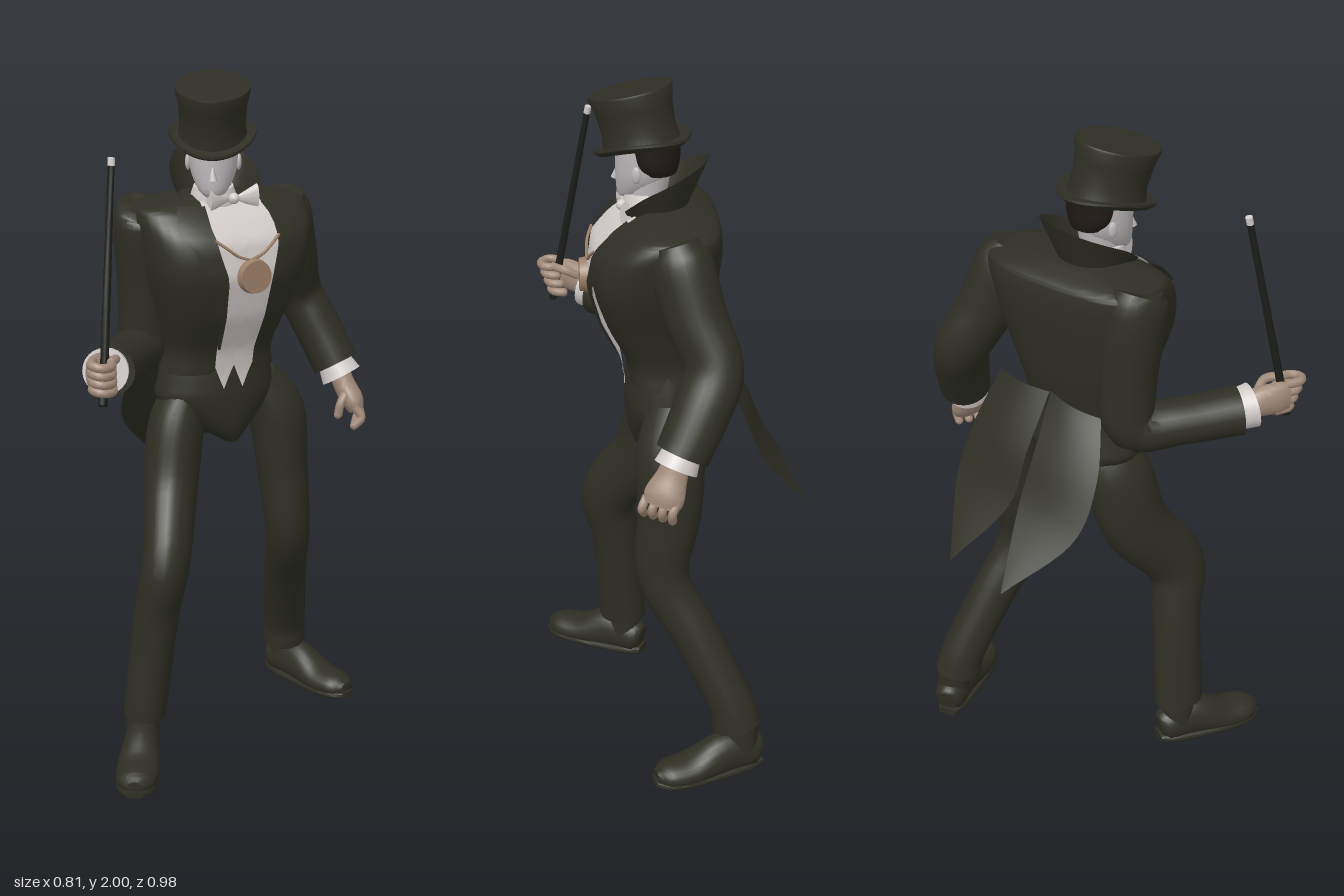
import * as THREE from 'three';
import { toCreasedNormals } from 'three/addons/utils/BufferGeometryUtils.js';

const V = (x, y, z) => new THREE.Vector3(x, y, z);
const paint = (name, color, side = THREE.FrontSide) => {
  const m = new THREE.MeshStandardMaterial({ color, side });
  m.name = name;
  return m;
};

// Smooth body part through rows of [x, y, z, radiusU, radiusV]; flat keeps every ring level
function limb(rows, { flat = false, sq = 1, sides = 24, steps = 5 } = {}) {
  const path = new THREE.CatmullRomCurve3(rows.map(r => V(r[0], r[1], r[2])), false, 'catmullrom', 0.5);
  const size = new THREE.CatmullRomCurve3(rows.map(r => V(r[3], r[4], 0)), false, 'catmullrom', 0.5);
  const n = (rows.length - 1) * steps, pos = [], idx = [];
  const pw = c => Math.sign(c) * Math.abs(c) ** sq;
  for (let i = 0; i <= n; i++) {
    const t = i / n, p = path.getPoint(t), s = size.getPoint(t);
    const T = flat ? V(0, 1, 0) : path.getTangent(t);
    const U = V(1, 0, 0).addScaledVector(T, -T.x).normalize();
    const W = T.clone().cross(U);
    for (let j = 0; j < sides; j++) {
      const a = (j / sides) * Math.PI * 2;
      const q = p.clone().addScaledVector(U, pw(Math.cos(a)) * s.x).addScaledVector(W, pw(Math.sin(a)) * s.y);
      pos.push(q.x, q.y, q.z);
    }
  }
  for (let i = 0; i < n; i++) for (let j = 0; j < sides; j++) {
    const k = (j + 1) % sides, a = i * sides + j, b = i * sides + k;
    idx.push(a, b, b + sides, a, b + sides, a + sides);
  }
  const c = pos.length / 3, e = n * sides;
  pos.push(...rows[0].slice(0, 3), ...rows.at(-1).slice(0, 3));
  for (let j = 0; j < sides; j++) {
    const k = (j + 1) % sides;
    idx.push(c, k, j, c + 1, e + j, e + k);
  }
  const g = new THREE.BufferGeometry();
  g.setAttribute('position', new THREE.Float32BufferAttribute(pos, 3));
  g.setIndex(idx);
  return toCreasedNormals(g, 0.9);
}

// Open sheet from a rule (u, v) => [x, y, z]
function patch(nu, nv, fn) {
  const g = new THREE.PlaneGeometry(1, 1, nu, nv), p = g.attributes.position, uv = g.attributes.uv;
  for (let i = 0; i < p.count; i++) p.setXYZ(i, ...fn(uv.getX(i), 1 - uv.getY(i)));
  g.computeVertexNormals();
  return g;
}

// Linear lookup in a table of [key, value], keys descending
function look(table, k) {
  if (k >= table[0][0]) return table[0][1];
  for (let i = 1; i < table.length; i++) {
    const [a, va] = table[i - 1], [b, vb] = table[i];
    if (k >= b) return va + (vb - va) * (a - k) / (a - b);
  }
  return table.at(-1)[1];
}

export function createModel() {
  const coat = paint('coat cloth', 0x2e2e24, THREE.DoubleSide);
  const white = paint('white linen', 0xd2cbc9, THREE.DoubleSide);
  const pale = paint('pale face', 0xbdb8ba);
  const skin = paint('skin', 0xa18a79);
  const bronze = paint('bronze', 0x9c8068);
  const hair = paint('dark hair', 0x201a16);
  const black = paint('black lacquer', 0x1d1d19);

  const model = new THREE.Group();
  const add = (name, geo, mat, parent = model) => {
    const m = new THREE.Mesh(geo, mat);
    m.name = name;
    parent.add(m);
    return m;
  };
  const body = new THREE.Group();
  body.name = 'body';
  body.position.set(-0.04, 0, -0.03);
  body.rotation.y = 0.49;
  model.add(body);

  // Jacket and hips
  const chest = [
    [0, 1.15, -0.02, 0.168, 0.1], [0, 1.22, -0.015, 0.162, 0.108], [0, 1.33, 0, 0.195, 0.148], [0.005, 1.45, 0.008, 0.235, 0.174],
    [0.01, 1.55, -0.005, 0.255, 0.172], [0.01, 1.61, -0.03, 0.262, 0.143], [0.005, 1.635, -0.04, 0.24, 0.118], [0, 1.66, -0.03, 0.12, 0.07]];
  const SQ = 0.67;
  add('jacket', limb(chest, { flat: true, sq: SQ, sides: 40 }), coat, body);
  add('hips', limb([[0.02, 0.93, 0.04, 0.02, 0.02], [0.01, 0.98, 0, 0.09, 0.08], [0, 1.06, -0.025, 0.178, 0.115],
    [0, 1.12, -0.025, 0.178, 0.115], [0, 1.22, -0.02, 0.155, 0.1]], { flat: true }), coat, body);

  // Front surface of the jacket at side offset l
  const down = [...chest].reverse();
  const front = (l, y) => {
    const c = look(down.map(r => [r[1], r[2]]), y), ru = look(down.map(r => [r[1], r[3]]), y);
    const rv = look(down.map(r => [r[1], r[4]]), y);
    return c + rv * Math.max(0, 1 - Math.min(1, Math.abs(l) / ru) ** (2 / SQ)) ** (SQ / 2);
  };
  const opening = y => look([[1.65, 0.09], [1.6, 0.105], [1.53, 0.098], [1.45, 0.074], [1.22, 0.06], [1.1, 0.06]], y);

  // Shirt front with a two-pointed hem
  add('shirtFront', patch(16, 28, (u, v) => {
    const hem = 1.105 + 0.07 * Math.abs(((u * 2) % 1) - 0.5) * 2;
    const y = 1.65 + (hem - 1.65) * v, l = (u - 0.5) * 2 * opening(y);
    return [l, y, front(l, y) + 0.012];
  }), white, body);
  for (const s of [-1, 1]) {
    // Pointed lapels
    add('lapel', patch(4, 16, (u, v) => {
      const y = 1.64 - 0.41 * v;
      const wide = look([[1.65, 0.07], [1.57, 0.1], [1.55, 0.07], [1.23, 0.004]], y);
      const l = s * (opening(y) - 0.006 + u * wide);
      return [l, y, front(l, y) + 0.02 - 0.006 * u];
    }), coat, body);
    // Bow tie wings
    const wing = add('bowTie', new THREE.ConeGeometry(0.036, 0.075, 12), white, body);
    wing.scale.z = 0.45;
    wing.rotation.z = s * Math.PI / 2;
    wing.position.set(s * 0.037, 1.655, 0.09);
    // Medallion chain
    add('chain', new THREE.TubeGeometry(new THREE.CatmullRomCurve3([[0.1, 1.56], [0.067, 1.535], [0.035, 1.512], [0, 1.5]]
      .map(([l, y]) => V(s * l, y, front(l, y) + 0.02))), 14, 0.0045, 6), bronze, body);
  }
  add('bowKnot', new THREE.SphereGeometry(0.016, 12, 8), white, body).position.set(0, 1.655, 0.095);
  const medal = add('medallion', new THREE.CylinderGeometry(0.046, 0.05, 0.022, 28), bronze, body);
  medal.rotation.x = Math.PI / 2;
  medal.position.set(0.008, 1.455, 0.205);

  // Close upright collar, peaked at the back and falling to the front
  const collar = add('collar', patch(32, 5, (u, v) => {
    const a = (u - 0.5) * 4, k = Math.abs(u - 0.5) * 2, r = 0.085 + 0.042 * v;
    const back = Math.max(0, Math.cos(a));
    return [Math.sin(a) * r, 1.61 + v * (0.185 - 0.13 * k ** 1.6), -Math.cos(a) * r - 0.035 * v * back];
  }), coat);
  collar.position.set(-0.048, 0, -0.01);
  collar.rotation.y = 0.25;

  // Coat tails, each from paired inner and outer edge points
  const tails = [
    [[-0.1, 1.28, -0.175], [0.07, 1.28, -0.245], [-0.135, 1.12, -0.265], [0.065, 1.13, -0.335],
      [-0.152, 0.98, -0.325], [0.052, 0.99, -0.395], [-0.09, 0.79, -0.49], [-0.085, 0.79, -0.488]],
    [[-0.1, 1.28, -0.17], [-0.23, 1.24, -0.08], [-0.135, 1.12, -0.24], [-0.305, 1.09, -0.13],
      [-0.16, 0.98, -0.3], [-0.335, 0.94, -0.21], [-0.265, 0.77, -0.41], [-0.268, 0.77, -0.408]]];
  for (const t of tails) {
    const edge = o => new THREE.CatmullRomCurve3([0, 2, 4, 6].map(i => V(...t[i + o])));
    const a = edge(0), b = edge(1);
    add('coatTail', patch(8, 20, (u, v) => {
      const p = a.getPoint(v).lerp(b.getPoint(v), u), bow = 0.015 * Math.sin(Math.PI * u) * (1 - v);
      return [p.x - 0.47 * bow, p.y, p.z - 0.88 * bow];
    }), coat);
  }

  // Head and neck with a white standing collar
  const hx = -0.053;
  add('neck', limb([[hx, 1.6, 0, 0.07, 0.07], [hx, 1.65, 0.008, 0.066, 0.066], [hx, 1.685, 0.012, 0.056, 0.058]]), white);
  add('nape', limb([[hx, 1.66, 0.005, 0.05, 0.052], [hx, 1.76, -0.008, 0.054, 0.058]]), pale);
  add('head', limb([[hx, 1.66, 0.066, 0.018, 0.014], [hx, 1.68, 0.045, 0.042, 0.046], [hx, 1.73, 0.018, 0.064, 0.076],
    [hx, 1.79, 0.01, 0.07, 0.084], [hx, 1.84, 0.01, 0.068, 0.082]], { flat: true }), pale);
  add('hair', limb([[hx, 1.745, -0.035, 0.055, 0.045], [hx, 1.775, -0.024, 0.073, 0.064], [hx, 1.84, -0.014, 0.076, 0.078]], { flat: true }), hair);
  const nose = add('nose', new THREE.ConeGeometry(0.013, 0.05, 8), pale);
  nose.position.set(hx, 1.735, 0.094);
  nose.rotation.x = -0.2;
  for (const s of [-1, 1]) {
    const ear = add('ear', new THREE.SphereGeometry(0.02, 12, 8), pale);
    ear.scale.set(0.4, 1.2, 0.7);
    ear.position.set(hx + s * 0.071, 1.75, 0.005);
  }

  // Top hat with the brim curled up at the sides
  const hatGeo = new THREE.LatheGeometry([[0, -0.006], [0.125, -0.008], [0.14, 0.002], [0.139, 0.009], [0.125, 0.008], [0.11, 0.012],
    [0.105, 0.05], [0.11, 0.11], [0.121, 0.155], [0.119, 0.161], [0, 0.161]].map(p => new THREE.Vector2(...p)), 40);
  const hp = hatGeo.attributes.position;
  for (let i = 0; i < hp.count; i++) if (hp.getY(i) < 0.02) hp.setY(i, hp.getY(i) + 1.2 * hp.getX(i) ** 2);
  const hat = add('topHat', toCreasedNormals(hatGeo, 0.7), coat);
  hat.position.set(-0.055, 1.811, 0.017);
  hat.rotation.set(0.24, 0, -0.01);
  hat.scale.x = 0.87;

  // Trouser legs
  add('rightLeg', limb([[-0.13, 1.09, -0.01, 0.06, 0.08], [-0.163, 0.98, 0.01, 0.082, 0.1], [-0.18, 0.8, 0.06, 0.08, 0.1],
    [-0.19, 0.62, 0.188, 0.07, 0.09], [-0.22, 0.45, 0.18, 0.066, 0.075], [-0.258, 0.14, 0.175, 0.063, 0.076]]), coat);
  add('leftLeg', limb([[0.07, 1.09, -0.13, 0.06, 0.08], [0.13, 0.98, -0.15, 0.084, 0.1], [0.15, 0.8, -0.155, 0.077, 0.094],
    [0.168, 0.6, -0.145, 0.067, 0.078], [0.165, 0.42, -0.25, 0.065, 0.07], [0.166, 0.22, -0.36, 0.066, 0.068],
    [0.166, 0.14, -0.384, 0.068, 0.074]]), coat);

  // Shoes with flat soles
  for (const [name, x, z, yaw] of [['rightShoe', -0.265, 0.165, -0.04], ['leftShoe', 0.168, -0.405, 0.78]]) {
    const shoe = new THREE.Group();
    shoe.name = name;
    shoe.position.set(x, 0, z);
    shoe.rotation.y = yaw;
    model.add(shoe);
    const upper = limb([[0, 0.05, -0.055, 0.03, 0.035], [0, 0.055, -0.03, 0.048, 0.055], [0, 0.06, 0.06, 0.052, 0.068],
      [0, 0.035, 0.16, 0.063, 0.045], [0, 0.03, 0.24, 0.055, 0.038], [0, 0.03, 0.275, 0.025, 0.02]]);
    const p = upper.attributes.position;
    for (let i = 0; i < p.count; i++) p.setY(i, Math.max(0.005, p.getY(i)));
    add('upper', toCreasedNormals(upper, 0.9), coat, shoe);
    add('sole', limb([[0, 0.012, -0.058, 0.028, 0.012], [0, 0.012, 0, 0.048, 0.012], [0, 0.012, 0.15, 0.062, 0.012],
      [0, 0.012, 0.24, 0.055, 0.012], [0, 0.012, 0.28, 0.025, 0.01]], { sq: 0.5 }), coat, shoe);
    add('ankle', new THREE.CylinderGeometry(0.048, 0.05, 0.12, 20), coat, shoe).position.set(0, 0.11, 0.005);
  }

  // Sleeves and cuffs
  add('rightSleeve', limb([[-0.25, 1.63, 0.022, 0.06, 0.062], [-0.255, 1.58, 0.01, 0.08, 0.088], [-0.252, 1.36, -0.01, 0.075, 0.08],
    [-0.262, 1.22, 0.0, 0.072, 0.075], [-0.3, 1.215, 0.13, 0.07, 0.066], [-0.335, 1.225, 0.29, 0.074, 0.07]]), coat);
  add('rightCuff', limb([[-0.335, 1.227, 0.275, 0.056, 0.058], [-0.342, 1.235, 0.33, 0.064, 0.064]]), white);
  add('leftSleeve', limb([[0.145, 1.626, -0.165, 0.06, 0.06], [0.15, 1.57, -0.185, 0.08, 0.088], [0.172, 1.43, -0.24, 0.079, 0.086],
    [0.198, 1.31, -0.302, 0.07, 0.084], [0.25, 1.21, -0.292, 0.07, 0.082], [0.312, 1.09, -0.26, 0.07, 0.076]]), coat);
  add('leftCuff', limb([[0.305, 1.1, -0.259, 0.05, 0.052], [0.329, 1.055, -0.248, 0.062, 0.062]]), white);

  // Hands
  const finger = (pts, r = 0.013) => {
    add('finger', new THREE.TubeGeometry(new THREE.CatmullRomCurve3(pts.map(p => V(...p))), 10, r, 8), skin);
    add('fingerTip', new THREE.SphereGeometry(r, 8, 6), skin).position.set(...pts.at(-1));
  };
  add('leftHand', limb([[0.322, 1.07, -0.248, 0.032, 0.038], [0.338, 1.03, -0.24, 0.033, 0.045], [0.362, 0.985, -0.23, 0.034, 0.058],
    [0.375, 0.955, -0.224, 0.024, 0.052]]), skin);
  for (let i = 0; i < 4; i++) {
    const z = -0.27 + i * 0.03;
    finger([[0.368, 0.975, z], [0.388, 0.945, z + 0.006], [0.378 - i * 0.004, 0.92, z + 0.01]]);
  }
  finger([[0.345, 1.02, -0.205], [0.325, 0.985, -0.185], [0.318, 0.95, -0.185]]);
  add('rightHand', limb([[-0.342, 1.236, 0.31, 0.036, 0.038], [-0.352, 1.246, 0.35, 0.034, 0.046],
    [-0.364, 1.25, 0.4, 0.026, 0.05], [-0.366, 1.25, 0.43, 0.02, 0.045]]), skin);
  for (let i = 0; i < 4; i++) {
    const y = 1.212 + i * 0.026, z = 0.385 + i * 0.011;
    finger([[-0.368, y, z], [-0.368, y, z + 0.05], [-0.342, y - 0.004, z + 0.064], [-0.318, y - 0.006, z + 0.045], [-0.318, y - 0.004, z + 0.01]]);
  }
  finger([[-0.33, 1.265, 0.35], [-0.31, 1.285, 0.385], [-0.318, 1.288, 0.43]]);

  // Cane with a pale tip
  add('cane', limb([[-0.342, 1.17, 0.445, 0.012, 0.012], [-0.317, 1.795, 0.307, 0.009, 0.009]], { sides: 12 }), black);
  add('caneTip', limb([[-0.3172, 1.79, 0.308, 0.01, 0.01], [-0.3164, 1.812, 0.303, 0.01, 0.01]], { sides: 12 }), white);
  return model;
}
